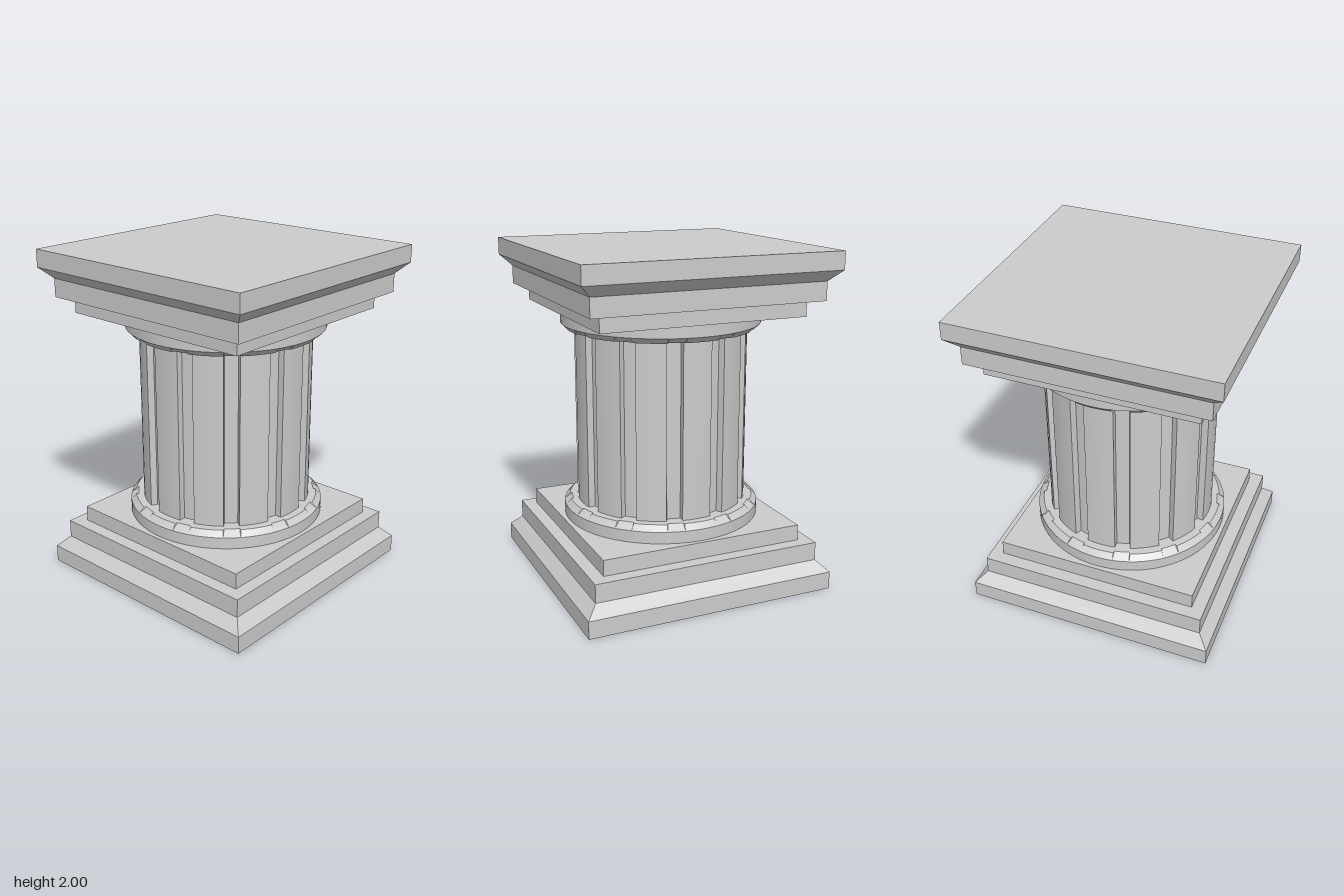
import * as THREE from 'three';
import { toCreasedNormals } from 'three/addons/utils/BufferGeometryUtils.js';

const FLUTES = 12;
const stone = new THREE.MeshStandardMaterial({ color: 0xcccccc });

// One outline turn: 12 wide raised panels parted by narrow grooves.
const outline = [];
for (let i = 0; i < FLUTES; i++) {
  for (const d of [-9.8, -5, 0, 5, 9.8]) outline.push({ a: i * 30 + d, raised: true });
  for (const d of [10.3, 15, 19.7]) outline.push({ a: i * 30 + d, raised: false });
}

// Lofts the outline through levels of [y, panel radius, groove radius].
function flutedLoft(levels) {
  const n = outline.length, pos = [], index = [];
  for (const [y, panel, groove] of levels) {
    for (const { a, raised } of outline) {
      const t = THREE.MathUtils.degToRad(a), r = raised ? panel : groove;
      pos.push(r * Math.sin(t), y, r * Math.cos(t));
    }
  }
  for (let l = 0; l < levels.length - 1; l++) {
    for (let i = 0; i < n; i++) {
      const a = l * n + i, b = l * n + (i + 1) % n;
      index.push(a, b, b + n, a, b + n, a + n);
    }
  }
  const geo = new THREE.BufferGeometry();
  geo.setAttribute('position', new THREE.Float32BufferAttribute(pos, 3));
  geo.setIndex(index);
  return toCreasedNormals(geo, THREE.MathUtils.degToRad(25));
}

function add(parent, name, geometry) {
  const mesh = new THREE.Mesh(geometry, stone);
  mesh.name = name;
  parent.add(mesh);
  return mesh;
}

// Square slab or square frustum between two heights.
function squareBlock(parent, name, y0, y1, half0, half1 = half0) {
  const geo = new THREE.CylinderGeometry(half1 * Math.SQRT2, half0 * Math.SQRT2, y1 - y0, 4)
    .rotateY(Math.PI / 4)
    .translate(0, (y0 + y1) / 2, 0);
  add(parent, name, toCreasedNormals(geo, 0.3));
}

// Stepped square foot with a round collar; also serves upside down as the capital.
function steppedEnd(name) {
  const group = new THREE.Group();
  group.name = name;
  squareBlock(group, 'plinth', 0, 0.105, 0.76);
  squareBlock(group, 'slopedStep', 0.105, 0.17, 0.76, 0.695);
  squareBlock(group, 'middleStep', 0.17, 0.28, 0.695);
  squareBlock(group, 'innerStep', 0.28, 0.375, 0.617);
  add(group, 'collar', flutedLoft([
    [0.375, 0.592, 0.592],
    [0.445, 0.592, 0.592],
    [0.478, 0.56, 0.545],
    [0.478, 0.4, 0.4],
  ]));
  return group;
}

export function createModel() {
  const pillar = new THREE.Group();
  pillar.name = 'pillar';

  pillar.add(steppedEnd('base'));

  const capital = steppedEnd('capital');
  capital.rotation.x = Math.PI;
  capital.position.y = 2;
  pillar.add(capital);

  // Grooved shaft
  add(pillar, 'shaft', flutedLoft([[0.46, 0.512, 0.472], [1.54, 0.512, 0.472]]));

  return pillar;
}
